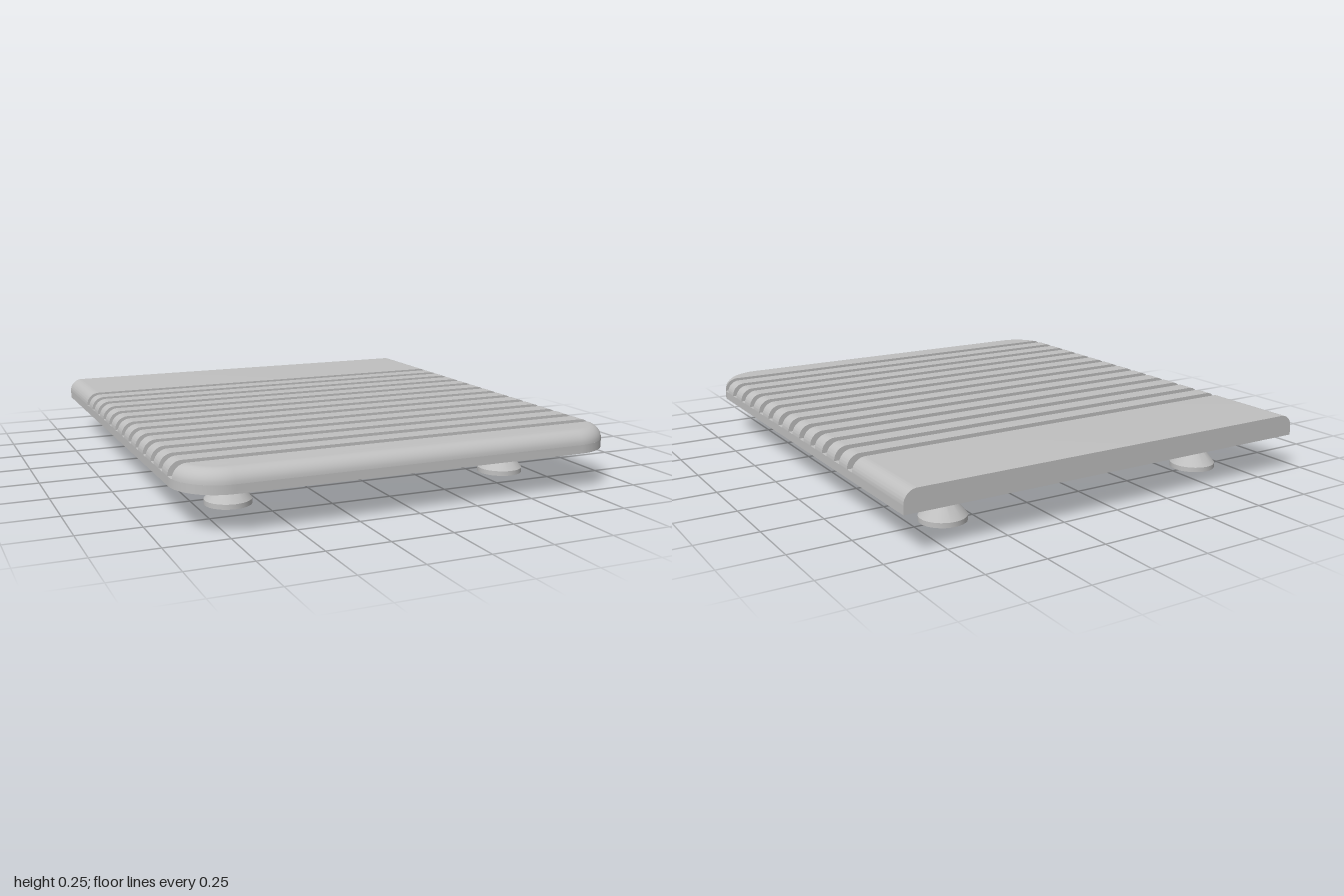
import * as THREE from 'three';
import { toCreasedNormals } from 'three/addons/utils/BufferGeometryUtils.js';

const HALF_W = 0.92, BASE = 0.16, FLOOR = 0.195, FILLET = 0.055, CORNER = 0.19;
const GROOVE = 0.045, PITCH = 0.1163, FIRST = -0.592, GROOVES = 13;
const HOLE_Z = 0.035, HOLE_R = 0.58;
const grooveStart = (k) => FIRST + k * PITCH;

// Lower slab: front corners rounded, vent slots bounded by a circle, small recess underneath
function slabGeometry() {
  const s = new THREE.Shape();
  s.moveTo(-HALF_W, -1);
  s.lineTo(HALF_W, -1);
  s.absarc(HALF_W - CORNER, 1 - CORNER, CORNER, 0, Math.PI / 2);
  s.absarc(-HALF_W + CORNER, 1 - CORNER, CORNER, Math.PI / 2, Math.PI);
  s.closePath();
  for (let k = 1; k <= 10; k++) {
    const angle = (z) => Math.asin(Math.min((z - HOLE_Z) / HOLE_R, 0.9999));
    const a0 = angle(grooveStart(k)), a1 = angle(grooveStart(k) + GROOVE);
    const right = [], left = [];
    for (let i = 0; i <= 8; i++) {
      const a = a0 + (a1 - a0) * i / 8;
      const x = HOLE_R * Math.cos(a), z = HOLE_Z + HOLE_R * Math.sin(a);
      right.push(new THREE.Vector2(x, z));
      left.unshift(new THREE.Vector2(-x, z));
    }
    s.holes.push(new THREE.Path([...right, ...left]));
  }
  const recess = [[-0.52, -0.85], [-0.11, -0.85], [-0.11, -0.805], [-0.52, -0.805]];
  s.holes.push(new THREE.Path(recess.map(([x, z]) => new THREE.Vector2(x, z))));
  const g = new THREE.ExtrudeGeometry(s, { depth: FLOOR - BASE, bevelEnabled: false, curveSegments: 16 });
  g.rotateX(Math.PI / 2).translate(0, FLOOR, 0);
  return toCreasedNormals(g, 0.5);
}

// Bar across the plate with rounded upper ends
function barGeometry(z0, z1) {
  const s = new THREE.Shape();
  s.moveTo(-HALF_W, FLOOR);
  s.lineTo(HALF_W, FLOOR);
  s.absarc(HALF_W - FILLET, FLOOR, FILLET, 0, Math.PI / 2);
  s.absarc(-HALF_W + FILLET, FLOOR, FILLET, Math.PI / 2, Math.PI);
  const g = new THREE.ExtrudeGeometry(s, { depth: z1 - z0, bevelEnabled: false, curveSegments: 8 });
  return toCreasedNormals(g.translate(0, 0, z0), 0.5);
}

// Front lip: stacked outlines that shrink along a quarter circle, then a flat cap
function lipGeometry(zBack) {
  const LEVELS = 8, ARC = 12, n = 2 * (ARC + 1), pos = [], index = [];
  for (let l = 0; l <= LEVELS; l++) {
    const t = l / LEVELS * Math.PI / 2;
    const r = CORNER - FILLET * (1 - Math.cos(t)), y = FLOOR + FILLET * Math.sin(t);
    const a0 = Math.asin((zBack - 1 + CORNER) / r);
    for (const side of [1, -1]) {
      for (let i = 0; i <= ARC; i++) {
        const f = side > 0 ? i / ARC : 1 - i / ARC;
        const a = a0 + (Math.PI / 2 - a0) * f;
        pos.push(side * (HALF_W - CORNER + r * Math.cos(a)), y, 1 - CORNER + r * Math.sin(a));
      }
    }
  }
  for (let l = 0; l < LEVELS; l++) {
    for (let i = 0; i < n; i++) {
      const a = l * n + i, b = l * n + (i + 1) % n;
      index.push(a, a + n, b, b, a + n, b + n);
    }
  }
  const top = LEVELS * n;
  for (let i = 1; i < n - 1; i++) index.push(top, top + i + 1, top + i);
  const g = new THREE.BufferGeometry();
  g.setAttribute('position', new THREE.Float32BufferAttribute(pos, 3));
  g.setIndex(index);
  return toCreasedNormals(g, 0.5);
}

// Flared foot on a thin stem
function footGeometry() {
  const profile = [[0, 0], [0.095, 0], [0.095, 0.02], [0.045, 0.083], [0.045, BASE]];
  const g = new THREE.LatheGeometry(profile.map(([r, y]) => new THREE.Vector2(r, y)), 32);
  return toCreasedNormals(g, 0.4);
}

export function createModel() {
  const model = new THREE.Group();
  model.name = 'slattedTray';
  const grey = new THREE.MeshStandardMaterial({ color: 0xc0c0c0 });
  grey.name = 'lightGrey';
  const add = (name, geometry) => {
    const mesh = new THREE.Mesh(geometry, grey);
    mesh.name = name;
    model.add(mesh);
    return mesh;
  };

  add('slab', slabGeometry());
  add('backPanel', barGeometry(-1, FIRST));
  for (let k = 0; k < GROOVES - 1; k++) {
    add('rib' + (k + 1), barGeometry(grooveStart(k) + GROOVE, grooveStart(k + 1)));
  }
  add('frontLip', lipGeometry(grooveStart(GROOVES - 1) + GROOVE));

  const foot = footGeometry();
  for (const [end, z] of [['front', 0.58], ['back', -0.735]]) {
    for (const [side, x] of [['Left', 0.62], ['Right', -0.62]]) {
      add(end + side + 'Foot', foot).position.set(x, 0, z);
    }
  }
  return model;
}
